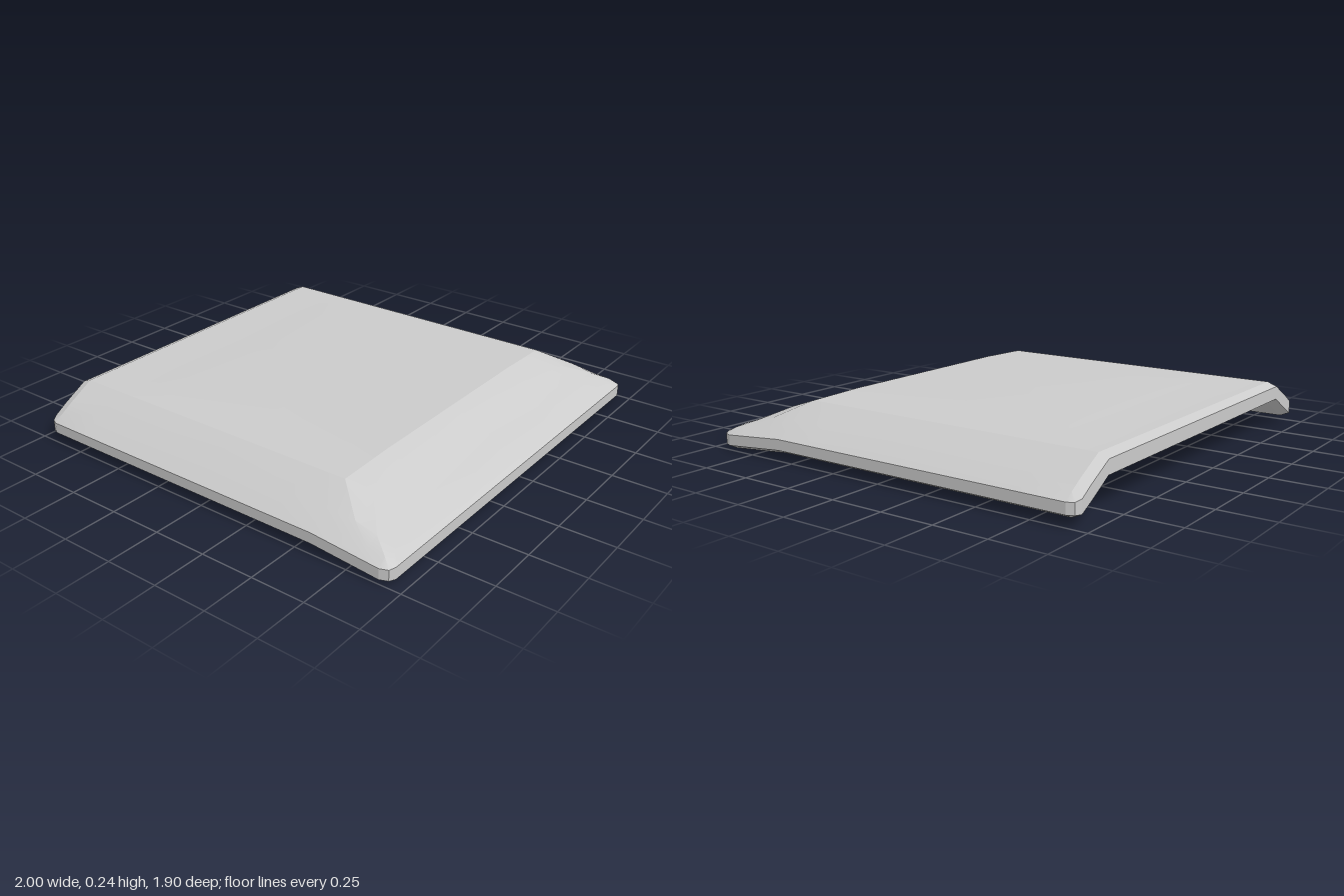
import * as THREE from 'three';
import { toCreasedNormals } from 'three/addons/utils/BufferGeometryUtils.js';

// piecewise linear profile through [position, height] pairs
function profile(points, t) {
  if (t <= points[0][0]) return points[0][1];
  for (let i = 1; i < points.length; i++) {
    const [a, ya] = points[i - 1], [b, yb] = points[i];
    if (t <= b) return ya + (yb - ya) * (t - a) / (b - a);
  }
  return points[points.length - 1][1];
}

// grid lines across the panel; the outermost ones form the rim
const HALF = [0.5, 0.7, 0.78, 0.9, 0.96, 1];
const XS = [...HALF.map(x => -x).reverse(), 0, ...HALF];
const ZS = [-0.95, -0.905, -0.7, -0.62, -0.5, 0, 0.4, 0.58, 0.72, 0.82, 0.9, 0.95];

// cross-sections: turned-down sides and front
const TOP_SIDE = [[0.78, 0.23], [0.9, 0.163], [0.96, 0.125], [1, 0.115]];
const TOP_FRONT = [[0.58, 0.232], [0.72, 0.183], [0.82, 0.13], [0.9, 0.105], [0.95, 0.092]];
const UNDER_SIDE = [[0.78, 0.13], [0.9, 0.06], [0.96, 0.028], [1, 0.028]];
const UNDER_FRONT = [[0.58, 0.13], [0.72, 0.07], [0.82, 0.022], [0.9, 0], [0.95, 0]];
const SIDE_DIP = [[0.58, 0], [0.9, 0.028], [0.95, 0.028]];
const CROWN_X = [[0.5, 0.008], [0.78, 0]];
const CROWN_Z = [[-0.7, 0], [-0.5, 0.008], [0.4, 0.008], [0.58, 0.008], [0.72, 0]];

function point(i, j, isTop) {
  let x = XS[i], z = ZS[j];
  const ax = Math.abs(x);
  const rimX = i === 0 || i === XS.length - 1;
  const rimZ = j === 0 || j === ZS.length - 1;
  const dip = ax > 0.78 ? profile(SIDE_DIP, z) * Math.min(1, (ax - 0.78) / 0.15) : 0;
  let y = Math.min(
    profile(isTop ? TOP_SIDE : UNDER_SIDE, ax) - dip,
    profile(isTop ? TOP_FRONT : UNDER_FRONT, z));
  y = Math.max(y, 0);
  if (isTop) y += Math.min(profile(CROWN_X, ax), profile(CROWN_Z, z));
  // bevelled rim and clipped corners
  if (rimX || rimZ) y += isTop ? -0.018 : 0.02;
  if (rimX && rimZ) {
    x -= Math.sign(x) * 0.014;
    z -= Math.sign(z) * 0.014;
  }
  return [x, y, z];
}

function panelGeometry() {
  const nx = XS.length, nz = ZS.length, layer = nx * nz;
  const positions = [], index = [];
  for (const isTop of [true, false])
    for (let j = 0; j < nz; j++)
      for (let i = 0; i < nx; i++) positions.push(...point(i, j, isTop));

  const id = (i, j, under) => j * nx + i + (under ? layer : 0);

  // upper and lower skins, diagonals following the mitred front corners
  for (const under of [false, true])
    for (let j = 0; j < nz - 1; j++)
      for (let i = 0; i < nx - 1; i++) {
        const a = id(i, j, under), b = id(i, j + 1, under);
        const c = id(i + 1, j + 1, under), d = id(i + 1, j, under);
        const right = XS[i] >= 0, front = ZS[j] >= 0;
        const tris = right === front ? [[a, b, c], [a, c, d]] : [[a, b, d], [b, c, d]];
        for (const t of tris) index.push(...(under ? t.reverse() : t));
      }

  // edge band joining the skins
  const wall = (p, q) => index.push(p, p + layer, q + layer, p, q + layer, q);
  for (let i = 0; i < nx - 1; i++) {
    wall(id(i, nz - 1), id(i + 1, nz - 1));
    wall(id(i + 1, 0), id(i, 0));
  }
  for (let j = 0; j < nz - 1; j++) {
    wall(id(0, j), id(0, j + 1));
    wall(id(nx - 1, j + 1), id(nx - 1, j));
  }

  const geometry = new THREE.BufferGeometry();
  geometry.setAttribute('position', new THREE.Float32BufferAttribute(positions, 3));
  geometry.setIndex(index);
  return toCreasedNormals(geometry, 0.3);
}

export function createModel() {
  const group = new THREE.Group();
  group.name = 'coverPanel';
  const panel = new THREE.Mesh(panelGeometry(), new THREE.MeshStandardMaterial({ color: 0xcccccc }));
  panel.name = 'panelShell';
  group.add(panel);
  return group;
}
